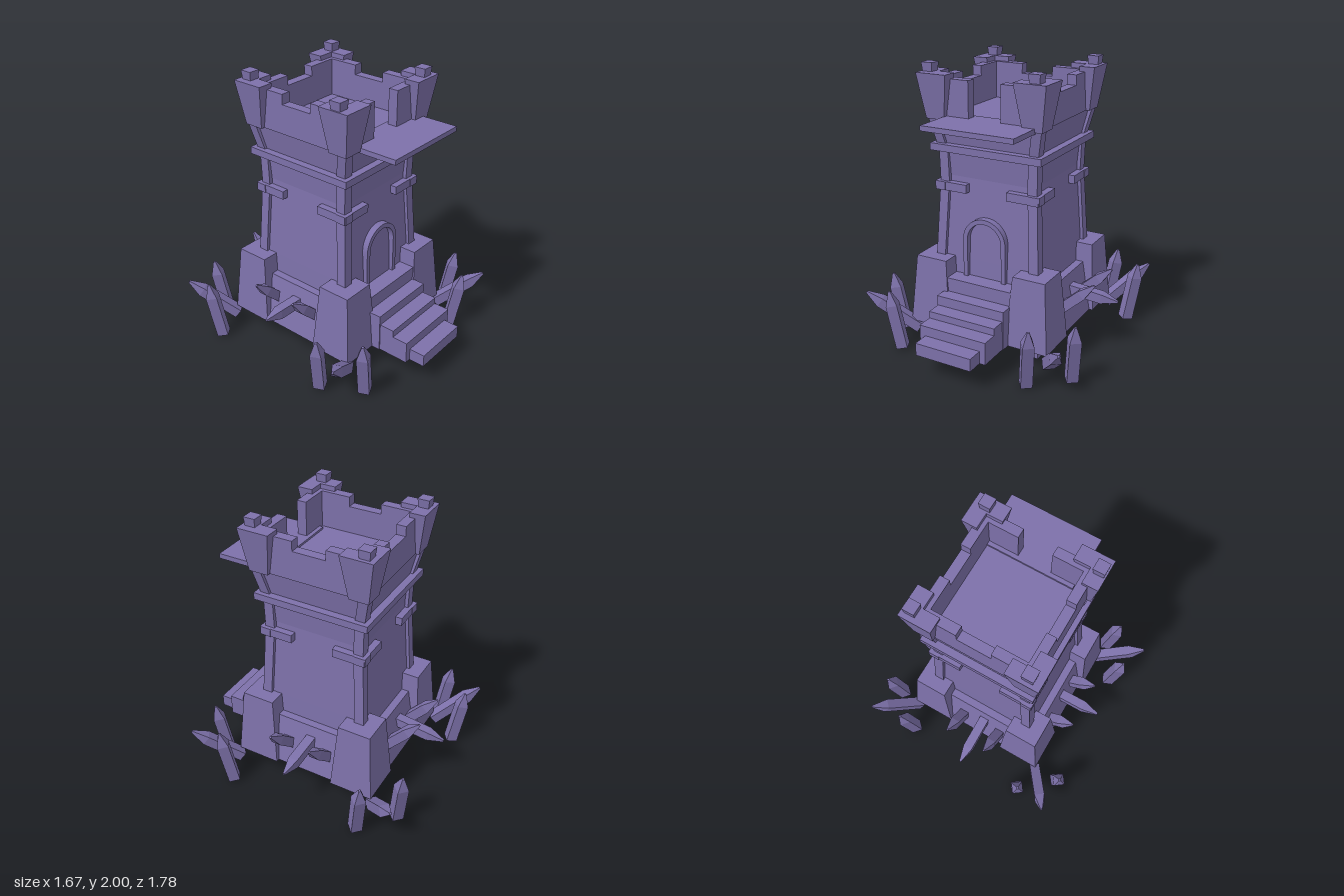
import * as THREE from 'three';

const mat = new THREE.MeshStandardMaterial({ color: 0x7d71aa, flatShading: true });
const openMat = mat.clone();
openMat.side = THREE.DoubleSide;

// Tower axis; the fence of stakes is laid out around the origin instead
const CX = 0.015, CZ = -0.055;

function add(parent, name, geo, x = 0, y = 0, z = 0, material = mat) {
  const m = new THREE.Mesh(geo, material);
  m.name = name;
  m.position.set(x, y, z);
  parent.add(m);
  return m;
}

// Box given by its limits on each axis
function box(parent, name, x0, x1, y0, y1, z0, z1) {
  return add(parent, name, new THREE.BoxGeometry(x1 - x0, y1 - y0, z1 - z0),
    (x0 + x1) / 2, (y0 + y1) / 2, (z0 + z1) / 2);
}

// Square solid from a profile of [half width, height]
function squareLathe(profile) {
  const pts = profile.map(([h, y]) => new THREE.Vector2(h * Math.SQRT2, y));
  return new THREE.LatheGeometry(pts, 4).rotateY(Math.PI / 4);
}

// Square pointed stake from its butt to its tip
function stake(parent, name, from, to, w, point = 0.12) {
  const a = new THREE.Vector3(...from), b = new THREE.Vector3(...to);
  const len = a.distanceTo(b), h = w / 2;
  const m = add(parent, name, squareLathe([[0, 0], [h, 0], [h, len - point], [h * 0.2, len], [0, len]]), ...from);
  const up = b.sub(a).normalize();
  const side = new THREE.Vector3(0, 1, 0).cross(up).normalize();
  const out = side.clone().cross(up);
  m.quaternion.setFromRotationMatrix(new THREE.Matrix4().makeBasis(side, up, out));
}

// Corner post following the wall: [outer half width, height]
function postGeometry() {
  const rows = [[0.415, 0.03], [0.402, 0.65], [0.372, 1.2], [0.376, 1.41], [0.425, 1.64]];
  const n = rows.length - 1, w = 0.07;
  const g = new THREE.BoxGeometry(w, 1, w, 1, n, 1), p = g.attributes.position;
  for (let i = 0; i < p.count; i++) {
    const [o, y] = rows[Math.round((p.getY(i) + 0.5) * n)];
    p.setXYZ(i, p.getX(i) + o - w / 2, y, p.getZ(i) - o + w / 2);
  }
  return g;
}

// L-shaped corner turret that widens upward
function turretGeometry() {
  const o = 0.455, a = 0.27, t = 0.365, h = 0.31;
  const shape = new THREE.Shape([[a, t], [t, t], [t, a], [o, a], [o, o], [a, o]]
    .map(([x, y]) => new THREE.Vector2(x, y)));
  const g = new THREE.ExtrudeGeometry(shape, { depth: h, bevelEnabled: false });
  const p = g.attributes.position;
  for (let i = 0; i < p.count; i++) {
    const k = (p.getZ(i) / h - 0.5) * 0.045;
    const flare = v => (v > 0.4 ? v + k : v < 0.3 ? v - k : v);
    p.setXY(i, flare(p.getX(i)), flare(p.getY(i)));
  }
  return g.rotateX(-Math.PI / 2);
}

function archFrame() {
  const arch = (Kind, r) => {
    const s = new Kind();
    s.moveTo(-r, 0.53);
    s.lineTo(r, 0.53);
    s.lineTo(r, 0.805);
    s.absarc(0, 0.805, r, 0, Math.PI, false);
    s.lineTo(-r, 0.53);
    return s;
  };
  const s = arch(THREE.Shape, 0.165);
  s.holes.push(arch(THREE.Path, 0.132));
  return new THREE.ExtrudeGeometry(s, { depth: 0.07, bevelEnabled: false, curveSegments: 14 });
}

export function createModel() {
  const model = new THREE.Group();
  model.name = 'watchtower';
  const tower = new THREE.Group();
  tower.name = 'tower';
  tower.position.set(CX, 0, CZ);
  model.add(tower);

  // Walls and sloped plinth, open underneath
  add(tower, 'plinth', squareLathe([[0.515, 0.15], [0.44, 0.51], [0.36, 0.51]]), 0, 0, 0, openMat);
  add(tower, 'walls', squareLathe([[0.385, 0.5], [0.378, 0.65], [0.345, 1.23], [0.36, 1.42],
    [0.4, 1.64], [0, 1.64]]), 0, 0, 0, openMat);

  // Corner parts, repeated by quarter turns
  const post = postGeometry(), turret = turretGeometry();
  const footing = squareLathe([[0, 0.15], [0.16, 0.15], [0.12, 0.65], [0, 0.65]]);
  for (let k = 0; k < 4; k++) {
    const corner = new THREE.Group();
    corner.name = 'corner' + (k + 1);
    corner.rotation.y = k * Math.PI / 2;
    tower.add(corner);
    add(corner, 'post', post);
    add(corner, 'turret', turret, 0, 1.63, 0);
    add(corner, 'footing', footing, 0.382, 0, -0.382);
    // Long band and two short straps on each side
    box(corner, 'band', -0.42, 0.42, 1.41, 1.46, 0.33, 0.42);
    for (const s of [-1, 1]) {
      add(corner, 'strap', new THREE.BoxGeometry(0.245, 0.06, 0.075), s * 0.278, 1.16, 0.358);
    }
  }
  for (const [x, z] of [[-0.375, -0.47], [0.43, -0.46], [-0.415, 0.32], [0.4, 0.36]]) {
    add(model, 'finial', squareLathe([[0, 0], [0.035, 0], [0.042, 0.07], [0, 0.07]]), x, 1.93, z);
  }

  // Parapet: a low middle on three sides, an opening at the front
  const IN = 0.335, OUT = 0.405;
  for (let k = 0; k < 4; k++) {
    const side = new THREE.Group();
    side.name = 'parapet' + (k + 1);
    side.rotation.y = k * Math.PI / 2;
    tower.add(side);
    for (const s of [-1, 1]) {
      const x = [s * 0.12, s * 0.4].sort((p, q) => p - q);
      box(side, 'parapetHigh', x[0], x[1], 1.63, 1.905, IN, OUT);
    }
    if (k > 0) box(side, 'parapetLow', -0.12, 0.12, 1.63, 1.835, IN, OUT);
  }

  // Balcony, doorway and stairs
  box(model, 'balcony', -0.28, 0.395, 1.62, 1.655, 0.25, 0.65);
  add(model, 'doorFrame', archFrame(), 0.005, 0, 0.285);
  const steps = [[0.212, 0.24, 0.89], [0.255, 0.31, 0.775], [0.255, 0.36, 0.66],
    [0.262, 0.43, 0.55], [0.27, 0.53, 0.45]];
  steps.forEach(([w, top, front], i) => {
    const back = i < 4 ? steps[i + 1][2] - 0.02 : 0.28;
    box(model, 'step' + (i + 1), 0.003 - w, 0.003 + w, 0.15, top, back, front);
  });

  // Stakes fixed to the plinth
  const wallStakes = new THREE.Group();
  wallStakes.name = 'wallStakes';
  model.add(wallStakes);
  for (const z of [0.095, -0.21]) stake(wallStakes, 'rightStake', [0.46, 0.3, z], [0.72, 0.54, z], 0.07);
  stake(wallStakes, 'rightLongStake', [0.44, 0.4, -0.075], [0.83, 0.37, -0.075], 0.07);
  for (const z of [0.095, -0.25]) stake(wallStakes, 'leftStake', [-0.42, 0.33, z], [-0.64, 0.54, z], 0.07);
  stake(wallStakes, 'leftLongStake', [-0.42, 0.39, -0.05], [-0.755, 0.4, -0.05], 0.07);
  for (const x of [-0.17, 0.14]) stake(wallStakes, 'backStake', [x, 0.3, -0.51], [x, 0.57, -0.75], 0.07);
  stake(wallStakes, 'backLongStake', [-0.03, 0.4, -0.48], [-0.03, 0.35, -0.875], 0.07);

  // Crossed stakes in the ground at each corner: beam butt, beam tip, two uprights (x, z)
  const barricades = [
    [[0.56, 0.47], [0.77, 0.75], [0.745, 0.47], [0.51, 0.675]],
    [[-0.48, 0.45], [-0.83, 0.61], [-0.71, 0.38], [-0.55, 0.645]],
    [[-0.52, -0.59], [-0.735, -0.88], [-0.725, -0.605], [-0.485, -0.81]],
    [[0.53, -0.59], [0.78, -0.85], [0.74, -0.59], [0.505, -0.79]],
  ];
  for (const [a, b, ...uprights] of barricades) {
    const g = new THREE.Group();
    g.name = 'barricade';
    model.add(g);
    stake(g, 'beam', [a[0], 0.09, a[1]], [b[0], 0.35, b[1]], 0.075);
    const d = new THREE.Vector2(b[0] - a[0], b[1] - a[1]).setLength(0.04);
    for (const [x, z] of uprights) {
      stake(g, 'upright', [x - d.x, 0.005, z - d.y], [x + d.x, 0.43, z + d.y], 0.08, 0.1);
    }
  }
  return model;
}
